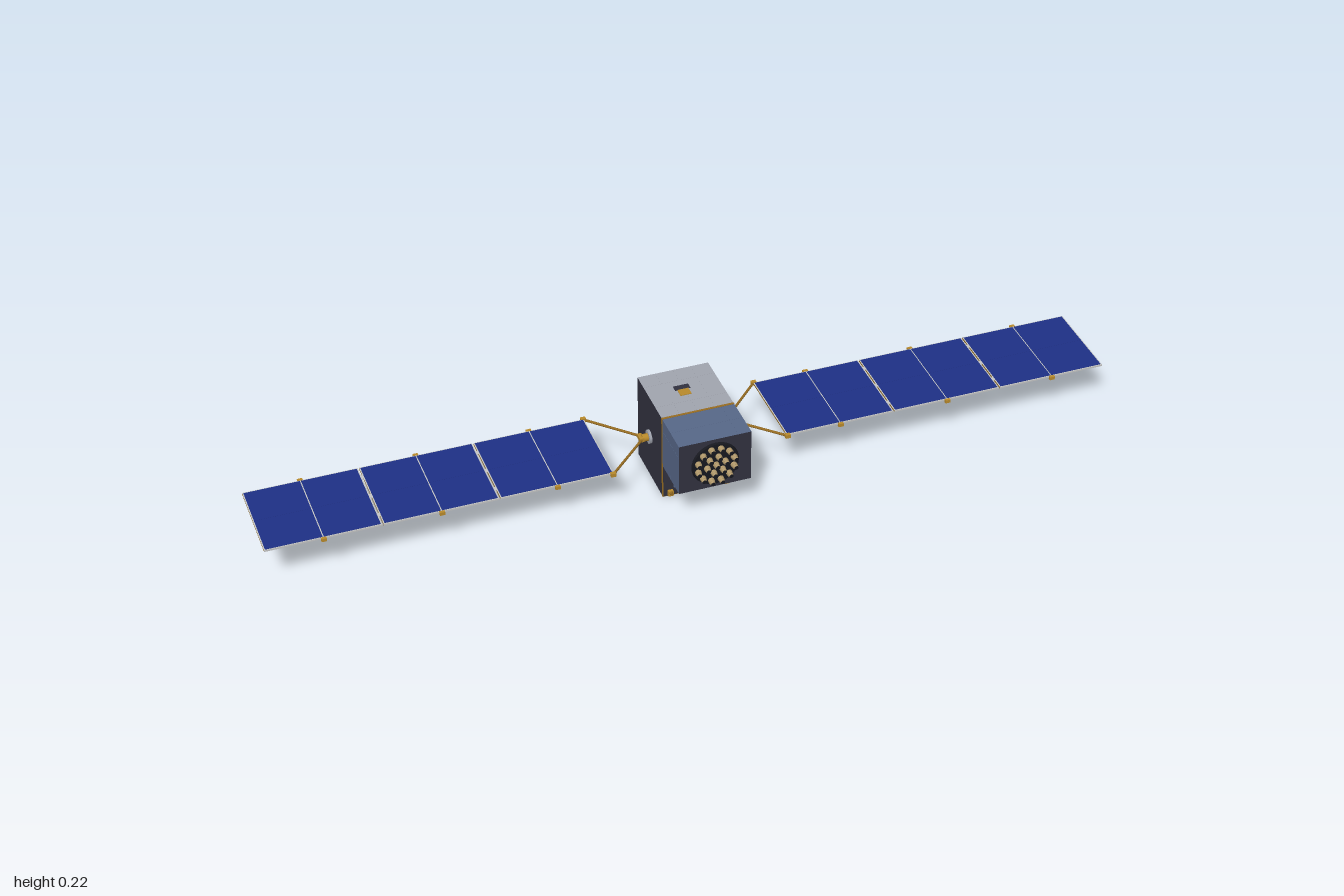
import * as THREE from 'three';

const mat = (name, color) => Object.assign(new THREE.MeshStandardMaterial({ color }), { name });
const M = {
  cell: mat('solar cell blue', 0x1e3085),
  black: mat('fitting black', 0x17181f),
  rear: mat('panel rear grey', 0x97989c),
  silver: mat('silver blanket', 0xa0a4ae),
  char: mat('charcoal blanket', 0x31313f),
  steel: mat('blue grey radiator', 0x566788),
  gold: mat('gold fitting', 0xb88a2c),
  amber: mat('amber edge', 0x966c22),
  tan: mat('tan helix', 0xb39a6c),
  pale: mat('pale frame', 0xc4c5c4),
};

function add(parent, name, geo, material, x = 0, y = 0, z = 0) {
  const m = new THREE.Mesh(geo, material);
  m.name = name;
  m.position.set(x, y, z);
  parent.add(m);
  return m;
}
const box = (p, name, m, w, h, d, x, y, z) => add(p, name, new THREE.BoxGeometry(w, h, d), m, x, y, z);
// Cylinder whose axis runs along x or z
function cyl(p, name, m, r1, r2, len, x, y, z, axis = 'z', n = 24) {
  const g = new THREE.CylinderGeometry(r1, r2, len, n);
  if (n === 8) g.rotateY(Math.PI / 8);
  if (axis === 'z') g.rotateX(Math.PI / 2);
  if (axis === 'x') g.rotateZ(-Math.PI / 2);
  return add(p, name, g, m, x, y, z);
}
function rod(p, name, m, a, b, r) {
  const d = b.clone().sub(a);
  const mesh = add(p, name, new THREE.CylinderGeometry(r, r, d.length(), 8), m);
  mesh.position.copy(a).add(b).multiplyScalar(0.5);
  mesh.quaternion.setFromUnitVectors(new THREE.Vector3(0, 1, 0), d.normalize());
}

const AY = 0.112, AZ = -0.05; // wing axis

function buildBus() {
  const g = new THREE.Group();
  g.name = 'bus';
  box(g, 'mainBody', [M.char, M.char, M.silver, M.char, M.char, M.silver], 0.17, 0.218, 0.164, 0, 0.11, -0.05);
  box(g, 'edgePlate', M.amber, 0.171, 0.219, 0.006, 0, 0.1098, 0.0335);
  box(g, 'lowerFrontPanel', M.char, 0.168, 0.088, 0.002, 0, 0.046, 0.0365);
  box(g, 'payloadBox', [M.steel, M.steel, M.steel, M.steel, M.char, M.char], 0.17, 0.13, 0.108, 0, 0.154, 0.091);

  // Blanket seams, each in the colour of its face
  const t = 0.0008, e = 0.0006;
  for (const x of [-0.042, 0, 0.042]) {
    box(g, 'topSeam', M.silver, t, e, 0.162, x, 0.219, -0.05);
    box(g, 'bottomSeam', M.char, t, e, 0.164, x, 0.001, -0.05);
  }
  for (const z of [-0.09, -0.01]) {
    box(g, 'topCrossSeam', M.silver, 0.17, e, t, 0, 0.219, z);
    box(g, 'bottomCrossSeam', M.char, 0.17, e, t, 0, 0.001, z);
  }
  box(g, 'payloadTopCrossSeam', M.steel, 0.17, e, t, 0, 0.219, 0.09);
  for (const s of [-1, 1]) {
    box(g, 'payloadTopSeam', M.steel, t, e, 0.106, s * 0.055, 0.219, 0.091);
    box(g, 'payloadSideSeam', M.steel, e, 0.13, t, s * 0.085, 0.154, 0.09);
    box(g, 'payloadSideCrossSeam', M.steel, e, t, 0.106, s * 0.085, 0.187, 0.091);
    box(g, 'backSeam', M.silver, t, 0.218, e, s * 0.042, 0.11, -0.132);
  }
  for (const y of [0.03, 0.19]) box(g, 'backCrossSeam', M.silver, 0.17, t, e, 0, y, -0.132);

  // Round adapter on the back
  cyl(g, 'adapterRing', M.silver, 0.076, 0.076, 0.012, 0, 0.111, -0.138, 'z', 48);
  add(g, 'adapterRim', new THREE.TorusGeometry(0.073, 0.001, 8, 48), M.silver, 0, 0.111, -0.1437);
  for (let i = 0; i < 12; i++) {
    const a = i * Math.PI / 6;
    cyl(g, 'adapterBolt', M.silver, 0.002, 0.002, 0.002, 0.065 * Math.cos(a), 0.111 + 0.065 * Math.sin(a), -0.1442, 'z', 10);
  }

  // Fitting on the roof
  box(g, 'roofPlate', M.char, 0.036, 0.002, 0.016, -0.004, 0.2192, -0.062);
  box(g, 'roofFitting', M.gold, 0.026, 0.003, 0.022, -0.004, 0.2192, -0.043);

  // Instruments on the lower front
  box(g, 'radiatorPlate', M.steel, 0.052, 0.046, 0.004, -0.034, 0.047, 0.039);
  cyl(g, 'octagonPlate', M.silver, 0.028, 0.028, 0.004, 0.026, 0.047, 0.039, 'z', 8);
  for (const x of [-0.03, 0.03]) box(g, 'lowerBracket', M.silver, 0.03, 0.005, 0.004, x, 0.01, 0.039);
  for (const x of [-0.068, 0.068]) {
    box(g, 'cornerFitting', M.gold, 0.012, 0.014, 0.008, x, 0.011, 0.041);
    cyl(g, 'cornerSensor', M.amber, 0.004, 0.004, 0.006, x, 0.013, 0.047, 'z', 10);
    box(g, 'upperBracket', M.black, 0.014, 0.01, 0.008, x, 0.084, 0.041);
  }
  return g;
}

// Circular array of helix antennas
function buildAntennas() {
  const g = new THREE.Group();
  g.name = 'antennaArray';
  cyl(g, 'arrayBase', M.black, 0.054, 0.056, 0.005, 0, 0.154, 0.1475, 'z', 40);
  for (const [n, r] of [[1, 0], [6, 0.022], [12, 0.044]]) {
    for (let i = 0; i < n; i++) {
      const a = i * 2 * Math.PI / n + Math.PI / 12;
      const x = r * Math.cos(a), y = 0.154 + r * Math.sin(a);
      // Lean the cups slightly outward
      const h = cyl(g, 'helix', [M.tan, M.black, M.black], 0.0052, 0.0075, 0.015, x, y, 0.1572, 'z', 14);
      h.rotation.set(-r * 2 * Math.sin(a), r * 2 * Math.cos(a), 0);
      for (const z of [-0.003, 0.002])
        add(h, 'helixTurn', new THREE.TorusGeometry(0.0064 - z * 0.15, 0.0005, 5, 14), M.tan, 0, 0, z);
    }
  }
  return g;
}

function buildWing(s) {
  const g = new THREE.Group();
  g.name = s > 0 ? 'leftWing' : 'rightWing';
  // Drive hub
  cyl(g, 'hubFlange', M.silver, 0.017, 0.017, 0.006, s * 0.088, AY, AZ + 0.002, 'x', 8);
  cyl(g, 'hubShaft', M.gold, 0.009, 0.009, 0.016, s * 0.097, AY, AZ + 0.002, 'x');
  box(g, 'yokeHead', M.gold, 0.01, 0.01, 0.022, s * 0.107, AY, AZ);
  // V-shaped yoke
  for (const k of [-1, 1]) {
    const end = new THREE.Vector3(s * 0.208, AY, AZ - 0.002 + k * 0.108);
    rod(g, 'yokeArm', M.amber, new THREE.Vector3(s * 0.107, AY, AZ + k * 0.008), end, 0.003);
    box(g, 'yokeHinge', M.gold, 0.012, 0.009, 0.009, end.x, AY, end.z);
  }
  // Three hinged panels
  const len = 0.262, dep = 0.212, zc = AZ - 0.002;
  for (let i = 0; i < 3; i++) {
    const x = s * (0.205 + 0.265 * (i + 0.5));
    box(g, 'panel', [M.amber, M.amber, M.pale, M.rear, M.pale, M.pale], len, 0.004, dep, x, AY, zc);
    for (const k of [-1, 1]) {
      for (const j of [-1, 1])
        box(g, 'solarCells', M.cell, 0.127, 0.001, 0.1032, x + k * 0.0648, AY + 0.0022, zc + j * 0.0518);
      box(g, 'panelClip', M.gold, 0.012, 0.008, 0.007, x, AY - 0.001, zc + k * 0.109);
    }
    if (i < 2) {
      for (const k of [-0.07, 0, 0.07])
        box(g, 'panelHinge', M.pale, 0.006, 0.004, 0.012, s * (0.205 + 0.265 * (i + 1)), AY, zc + k);
    }
  }
  return g;
}

export function createModel() {
  const root = new THREE.Group();
  root.name = 'satellite';
  root.add(buildBus(), buildAntennas(), buildWing(1), buildWing(-1));
  return root;
}
